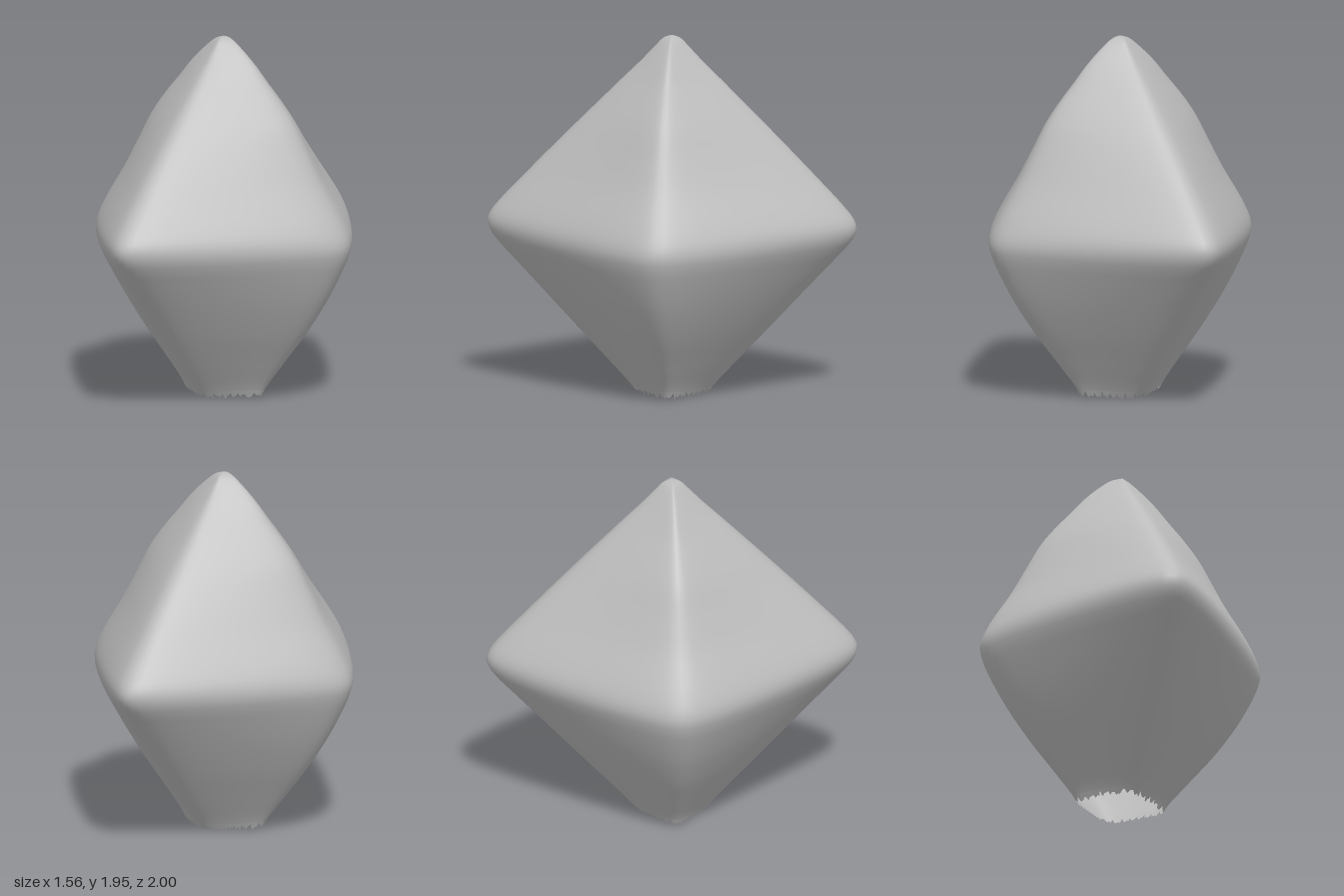
import * as THREE from 'three';

// Ridge profile: [half width in x, height, half depth in z]
const PROFILE = [
  [0.235, 0.00, 0.19], [0.27, 0.06, 0.24], [0.38, 0.20, 0.37], [0.53, 0.39, 0.548],
  [0.65, 0.57, 0.715], [0.735, 0.73, 0.865], [0.768, 0.81, 0.94], [0.78, 0.87, 0.985],
  [0.77, 0.92, 1.0], [0.75, 0.965, 0.985], [0.715, 1.03, 0.935], [0.61, 1.20, 0.775],
  [0.53, 1.35, 0.63], [0.45, 1.50, 0.482], [0.37, 1.61, 0.372], [0.28, 1.715, 0.267],
  [0.2, 1.81, 0.17], [0.11, 1.895, 0.09], [0.05, 1.94, 0.045], [0.0, 1.955, 0.0],
];
const SIDES = 144, RINGS = 96;

// Absolute value with a rounded bottom, so the ridges stay soft
const ROUND = 0.06;
const softAbs = (t) =>
  (Math.sqrt(t * t + ROUND * ROUND) - ROUND) / (Math.sqrt(1 + ROUND * ROUND) - ROUND);

// Rounded diamond outline, reaching 1 on both axes
function outline(angle) {
  const c = Math.cos(angle), s = Math.sin(angle), p = 1.15;
  const r = Math.pow(Math.pow(softAbs(c), p) + Math.pow(softAbs(s), p), -1 / p);
  return [c * r, s * r];
}

function seeded(seed) {
  return () => {
    seed = (seed * 16807) % 2147483647;
    return seed / 2147483647;
  };
}

function bodyGeometry() {
  const curve = new THREE.CatmullRomCurve3(PROFILE.map((p) => new THREE.Vector3(...p)));
  const random = seeded(71);
  const point = new THREE.Vector3();
  const positions = [], index = [];
  for (let i = 0; i <= RINGS; i++) {
    for (let j = 0; j < SIDES; j++) {
      // The lowest ring is torn: each point slides a little way up the wall
      const tear = i === 0 ? 0.012 * random() + (j % 5 === 0 ? 0.008 : 0) : 0;
      const u = 0.002 + (i / RINGS) * 0.998;
      curve.getPointAt(Math.min(1, i === 0 ? tear : Math.max(u, 0.02)), point);
      const [ox, oz] = outline((j / SIDES) * Math.PI * 2);
      positions.push(ox * point.x, Math.max(0, point.y), oz * point.z);
      if (i === RINGS) continue;
      const k = (j + 1) % SIDES;
      const a = i * SIDES + j, b = i * SIDES + k;
      const c = a + SIDES, d = b + SIDES;
      index.push(a, c, b, b, c, d);
    }
  }
  const geometry = new THREE.BufferGeometry();
  geometry.setAttribute('position', new THREE.Float32BufferAttribute(positions, 3));
  geometry.setIndex(index);
  geometry.computeVertexNormals();
  // The closing ring is a single point, so it faces straight up
  for (let j = 0; j < SIDES; j++) {
    geometry.attributes.normal.setXYZ(RINGS * SIDES + j, 0, 1, 0);
  }
  return geometry;
}

export function createModel() {
  const group = new THREE.Group();
  group.name = 'softOctahedron';
  const grey = new THREE.MeshStandardMaterial({ color: 0xbcbcbc, side: THREE.DoubleSide });
  grey.name = 'grey';
  // Thin shell, open at the torn base
  const shell = new THREE.Mesh(bodyGeometry(), grey);
  shell.name = 'shell';
  group.add(shell);
  return group;
}
